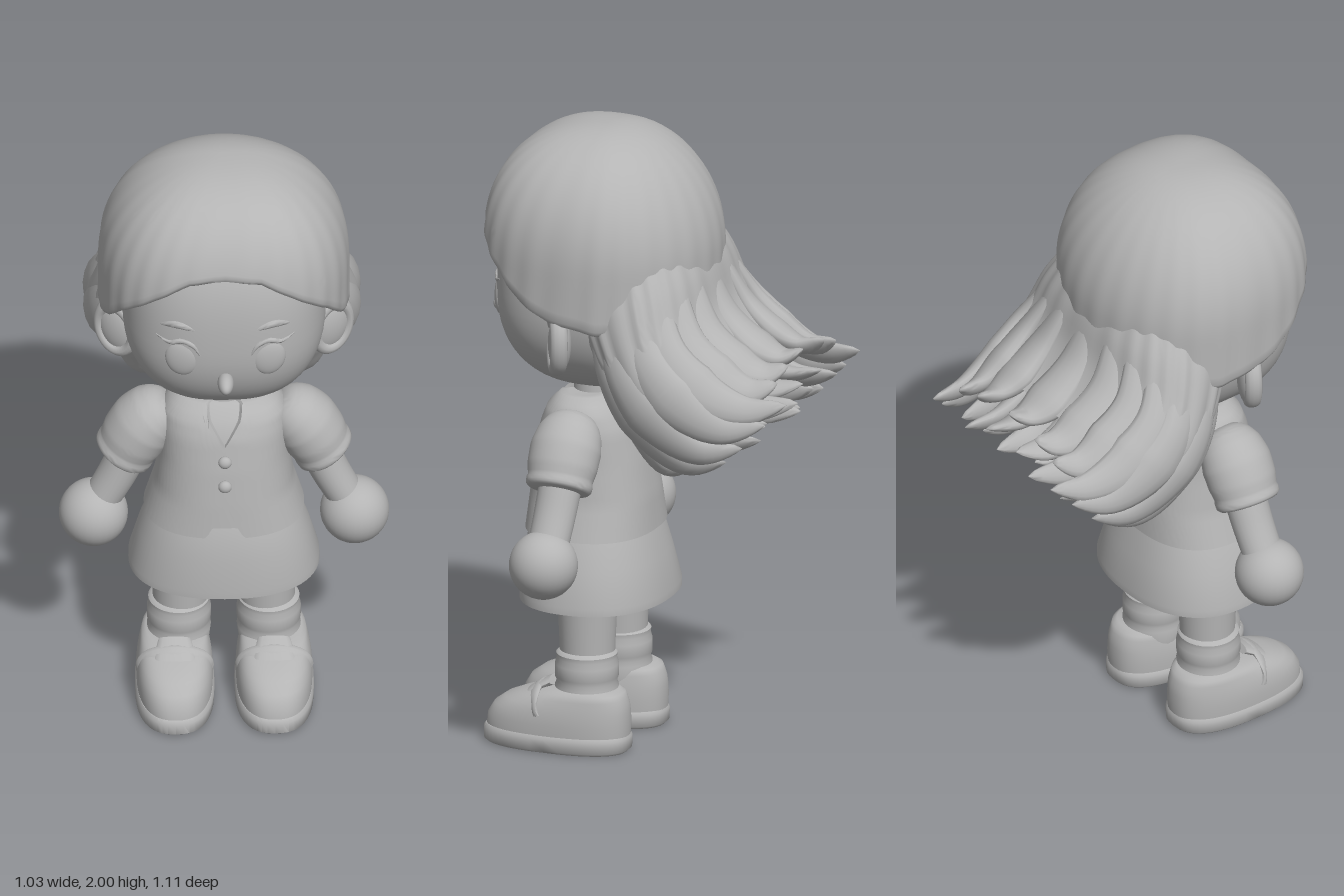
import * as THREE from 'three';
import { toCreasedNormals } from 'three/addons/utils/BufferGeometryUtils.js';

const V = (x, y, z) => new THREE.Vector3(x, y, z);
const spow = (v, e) => Math.sign(v) * Math.pow(Math.abs(v), e);
const TAU = Math.PI * 2;

// Linear look-up in rows of [key, value, value...]
function look(rows, t) {
  let i = 0;
  while (i < rows.length - 2 && t > rows[i + 1][0]) i++;
  const a = rows[i], b = rows[i + 1];
  const k = THREE.MathUtils.clamp((t - a[0]) / (b[0] - a[0]), 0, 1);
  return a.slice(1).map((v, j) => v + (b[j + 1] - v) * k);
}

// Closed rings fn(i, angle) -> Vector3, skinned and capped at both ends
function skin(fn, rings, n, crease = 0.9) {
  const pos = [], idx = [];
  const mid = [V(0, 0, 0), V(0, 0, 0)];
  for (let i = 0; i < rings; i++) for (let j = 0; j < n; j++) {
    const p = fn(i, (j / n) * TAU);
    pos.push(p.x, p.y, p.z);
    if (i === 0) mid[0].addScaledVector(p, 1 / n);
    if (i === rings - 1) mid[1].addScaledVector(p, 1 / n);
  }
  mid.forEach(m => pos.push(m.x, m.y, m.z));
  const end = rings * n, last = (rings - 1) * n;
  for (let j = 0; j < n; j++) {
    const k = (j + 1) % n;
    for (let i = 0; i < rings - 1; i++) {
      const a = i * n + j, b = i * n + k;
      idx.push(a, b, a + n, b, b + n, a + n);
    }
    idx.push(end, k, j, end + 1, last + j, last + k);
  }
  const g = new THREE.BufferGeometry();
  g.setAttribute('position', new THREE.Float32BufferAttribute(pos, 3));
  g.setIndex(idx);
  return toCreasedNormals(g, crease);
}

// Upright loft from rows [y, halfWidth, zFront, zBack], bottom to top
function upright(rows, cx = 0, p = 2.4, n = 48) {
  return skin((i, a) => {
    const [y, w, f, b] = rows[i];
    return V(cx + w * spow(Math.sin(a), 2 / p), y, (f + b) / 2 + (f - b) / 2 * spow(Math.cos(a), 2 / p));
  }, rows.length, n);
}

// Elliptical sweep along points; size(u) -> [half width, half thickness]
function sweep(pts, size, hint, rings = 18, n = 14, crease = 0.9) {
  const curve = new THREE.CatmullRomCurve3(pts);
  return skin((i, a) => {
    const u = i / (rings - 1), t = curve.getTangent(u), [w, h] = size(u);
    const side = hint.clone().cross(t).normalize(), up = t.clone().cross(side);
    return curve.getPoint(u).addScaledVector(side, w * Math.cos(a)).addScaledVector(up, h * Math.sin(a));
  }, rings, n, crease);
}

export function createModel() {
  const model = new THREE.Group();
  const clay = new THREE.MeshStandardMaterial({ color: 0xb4b4b4, side: THREE.DoubleSide });
  clay.name = 'plain grey';
  const add = (name, geo, x = 0, y = 0, z = 0) => {
    const m = new THREE.Mesh(geo, clay);
    m.name = name;
    m.position.set(x, y, z);
    model.add(m);
    return m;
  };
  const ball = (name, x, y, z, rx, ry = rx, rz = rx) => {
    const m = add(name, new THREE.SphereGeometry(1, 32, 20), x, y, z);
    m.scale.set(rx, ry, rz);
    return m;
  };

  // Head: rounded-square ellipsoid, nose and neck
  add('head', skin((i, a) => {
    const f = -Math.PI / 2 + Math.PI * (i + 0.15) / 32.3, low = f < 0, p = low ? 2.3 : 2.6;
    const r = spow(Math.cos(f), 2 / p), c = spow(Math.cos(a), 2 / 2.6);
    return V(0.318 * r * spow(Math.sin(a), 2 / 2.6), 1.47 + (low ? 0.317 : 0.42) * spow(Math.sin(f), 2 / p), 0.18 + 0.31 * r * c);
  }, 33, 64));
  ball('nose', 0, 1.36, 0.495, 0.025, 0.03, 0.05);
  add('neck', new THREE.CylinderGeometry(0.065, 0.075, 0.18, 32), 0, 1.13, 0.2);

  // Hair cap with an arched opening for the face
  const edge = [[0, 1.77], [0.2, 1.755], [0.41, 1.705], [0.65, 1.65], [0.92, 1.59], [1.2, 1.51], [1.46, 1.46], [1.8, 1.43], [3.2, 1.43]];
  add('hairCap', skin((i, a) => {
    const th = a > Math.PI ? TAU - a : a, front = Math.cos(a) > 0;
    const u = Math.min((i + 0.1) / 28, 1), rim = Math.max(0, i - 28);
    const y = 2 - (2 - look(edge, th)[0]) * (1 - Math.cos(u * Math.PI / 2));
    const p = 2.25 + 0.3 * Math.cos(a), h = THREE.MathUtils.clamp((y - 1.6) / 0.4, 0, 1);
    let r = Math.pow(1 - Math.pow(h, p), 1 / p);
    r *= 1 + 0.005 * u * Math.cos(26 * a + 4 * u) - [0, 0.02, 0.08, 0.18, 0.26][rim];
    const e = 2 / (2.35 + 0.35 * Math.cos(a));
    return V(0.39 * r * spow(Math.sin(a), e), y + [0, -0.015, -0.015, 0, 0.05][rim],
      0.15 + (front ? 0.374 : 0.35) * r * spow(Math.cos(a), e));
  }, 33, 156, 1.1));

  // Wind-blown hair body: rings between a back edge and a nape edge
  const back = new THREE.CatmullRomCurve3([V(0.27, 1.73, -0.12), V(0.355, 1.58, -0.195), V(0.4, 1.45, -0.235), V(0.42, 1.365, -0.3), V(0.405, 1.315, -0.37)]);
  const nape = new THREE.CatmullRomCurve3([V(0, 1.56, 0.22), V(0, 1.43, 0.19), V(0, 1.28, 0.11), V(0, 1.16, 0.045), V(0, 1.08, -0.02)]);
  const flow = (s, a, k = 1) => {
    const b = back.getPoint(s), f = nape.getPoint(s), v = (1 + k * spow(Math.sin(a), 0.78)) / 2;
    return V(-b.x * k * spow(Math.cos(a), 0.78), f.y + (b.y - f.y) * v, f.z + (b.z - f.z) * v);
  };
  add('hairBody', skin((i, a) => flow(Math.min(i / 20, 1), a, (1 + 0.01 * Math.cos(24 * a)) * (i > 20 ? 0.8 : 1)), 22, 144, 1.1));

  // Tapering locks that follow the hair body and fly off its end
  const lock = (a, k, i) => {
    const end = flow(1, a, k), v = k * Math.sin(a), vary = 1 + 0.1 * Math.sin(i * 2.4);
    const out = V(-Math.cos(a), Math.sin(a) * 0.9, -Math.sin(a) * 0.5).normalize();
    const dz = (-0.285 + 0.17 * v * v) * vary, dy = -0.07 + 0.08 * v;
    const pts = [flow(0.25, a, k * 0.86), flow(0.6, a, k * 0.96), end.clone(),
      V(end.x * 0.95, end.y + dy * 0.8 - 0.02, end.z + dz * 0.5),
      V(end.x * 0.87, end.y + dy + 0.012, end.z + dz)];
    const size = u => {
      const w = u < 0.45 ? 0.55 + u : Math.pow(1 - (u - 0.45) / 0.55, 0.65);
      return [0.08 * w + 0.001, 0.042 * w + 0.001];
    };
    add('hairLock', sweep(pts, size, out, 26, 14, 1.2));
  };
  for (let i = 0; i < 18; i++) lock(Math.PI / 2 + (i / 18) * TAU, 0.97, Math.abs(9 - i));
  for (let i = 0; i < 10; i++) lock(Math.PI / 2 + ((i + 0.5) / 10) * TAU, 0.55, i < 5 ? i : 9 - i);

  // Shirt under the vest
  const torso = [[0.69, 0.25, 0.405, -0.005], [0.8, 0.217, 0.395, 0.005], [0.92, 0.202, 0.38, 0.025],
    [1.03, 0.2, 0.36, 0.05], [1.09, 0.19, 0.335, 0.085], [1.13, 0.14, 0.295, 0.125]];
  add('shirt', upright(torso.map(([y, w, f, b]) => [y - 0.008, w - 0.014, f - 0.014, b + 0.014])));

  // Vest with a V neck and a notch in the front hem
  add('vest', skin((i, a) => {
    const front = Math.cos(a) > 0 ? 1 : 0, x = 0.23 * spow(Math.sin(a), 2 / 2.4);
    const low = 0.69 + front * Math.max(0, 0.12 * (1 - Math.abs(x) / 0.055));
    const high = 1.13 - front * Math.max(0, 0.12 * (1 - Math.abs(x) / 0.09));
    const u = THREE.MathUtils.clamp((i - 1) / 20, 0, 1), inset = i === 0 || i === 22 ? 0.025 : 0;
    const y = low + (high - low) * u, [w, f, b] = look(torso, y);
    return V((w - inset) * spow(Math.sin(a), 2 / 2.4), y, (f + b) / 2 + ((f - b) / 2 - inset) * spow(Math.cos(a), 2 / 2.4));
  }, 23, 160, 0.8));
  for (const [y, z] of [[0.965, 0.378], [0.88, 0.39]]) ball('button', 0, y, z, 0.021, 0.021, 0.017);

  // Skirt, hollow underneath
  add('skirt', upright([[0.64, 0.2, 0.35, 0.03], [0.48, 0.27, 0.39, -0.02], [0.463, 0.285, 0.41, -0.04], [0.467, 0.298, 0.42, -0.05],
    [0.49, 0.297, 0.42, -0.05], [0.6, 0.267, 0.41, -0.025], [0.7, 0.232, 0.395, 0.0], [0.76, 0.2, 0.37, 0.02]], 0, 2.3, 64));

  for (const s of [1, -1]) {
    // Eyes, lashes, brows
    ball('eye', s * 0.135, 1.44, 0.464, 0.054, 0.066, 0.02).rotation.y = s * 0.2;
    add('eyelid', sweep([V(s * 0.08, 1.46, 0.484), V(s * 0.1, 1.495, 0.483), V(s * 0.135, 1.51, 0.475), V(s * 0.175, 1.498, 0.461), V(s * 0.215, 1.513, 0.438)],
      u => { const r = 0.003 + 0.006 * Math.sin(Math.PI * u); return [r, r]; }, V(0, 0, 1), 16, 8));
    add('eyebrow', sweep([V(s * 0.085, 1.55, 0.48), V(s * 0.15, 1.568, 0.465), V(s * 0.212, 1.552, 0.436)],
      u => { const r = 0.003 + 0.011 * Math.sin(Math.PI * u); return [r, r * 0.8]; }, V(0, 0, 1), 14, 10));

    // Ear with a raised rim
    const ear = new THREE.Group();
    ear.name = 'ear';
    ear.position.set(s * 0.33, 1.365, 0.19);
    ear.rotation.set(0, s * 0.5, s * -0.15);
    const lobe = new THREE.Mesh(new THREE.SphereGeometry(1, 28, 20), clay);
    lobe.name = 'earLobe';
    lobe.scale.set(0.068, 0.095, 0.036);
    const rim = new THREE.Mesh(new THREE.TorusGeometry(0.06, 0.018, 12, 36), clay);
    rim.name = 'earRim';
    rim.scale.set(0.98, 1.36, 1.5);
    rim.position.z = 0.008;
    ear.add(lobe, rim);
    model.add(ear);

    // Arm, hand and puffed sleeve with a hem
    add('arm', sweep([V(s * 0.2, 1.04, 0.2), V(s * 0.275, 0.93, 0.2), V(s * 0.335, 0.8, 0.205), V(s * 0.4, 0.68, 0.21)],
      u => [0.068 - 0.012 * u, 0.072 - 0.008 * u], V(0, 0, 1), 18, 24));
    ball('hand', s * 0.407, 0.66, 0.213, 0.108);
    const puff = [[0, 0.048], [0.06, 0.069], [0.16, 0.087], [0.32, 0.103], [0.55, 0.113], [0.75, 0.111], [0.88, 0.103], [0.9, 0.106], [0.97, 0.105], [1, 0.096]];
    add('sleeve', sweep([V(s * 0.168, 1.075, 0.2), V(s * 0.245, 1.005, 0.2), V(s * 0.318, 0.88, 0.2)],
      u => { const r = look(puff, u)[0]; return [r * 0.92, r]; }, V(0, 0, 1), 34, 36));

    // Leg and folded sock
    const ring = (y, r) => [y, r, 0.175 + r, 0.175 - r];
    add('leg', upright([ring(0.2, 0.084), ring(0.35, 0.088), ring(0.48, 0.094), ring(0.66, 0.1)], s * 0.135, 2, 36));
    add('sock', upright([[0.14, 0.093], [0.2, 0.1], [0.215, 0.094], [0.23, 0.1], [0.27, 0.1], [0.29, 0.094], [0.305, 0.096], [0.315, 0.086]]
      .map(([y, r]) => ring(y, r)), s * 0.14, 2, 36));

    // Shoe: sole, upper, raised tongue and strap
    const cx = s * 0.155;
    add('shoeSole', upright([[0, 0.115, 0.495, 0.035], [0.008, 0.123, 0.505, 0.027], [0.045, 0.124, 0.505, 0.026], [0.055, 0.118, 0.497, 0.032]], cx, 2.5));
    add('shoeUpper', upright([[0.05, 0.118, 0.497, 0.03], [0.09, 0.12, 0.492, 0.028], [0.125, 0.117, 0.47, 0.03], [0.15, 0.112, 0.435, 0.033],
      [0.17, 0.106, 0.385, 0.04], [0.187, 0.1, 0.33, 0.048], [0.195, 0.088, 0.29, 0.065]], cx, 2.4));
    add('shoeTongue', sweep([V(cx, 0.13, 0.385), V(cx, 0.175, 0.335), V(cx, 0.21, 0.275)],
      u => [0.07 - 0.02 * u * u, 0.016], V(0, 1, 0), 10, 16));
    add('shoeStrap', sweep([V(cx - 0.104, 0.11, 0.3), V(cx - 0.082, 0.165, 0.315), V(cx, 0.192, 0.322), V(cx + 0.082, 0.165, 0.315), V(cx + 0.104, 0.11, 0.3)],
      () => [0.026, 0.011], V(0, 0.8, 0.6), 20, 12));
  }
  return model;
}
